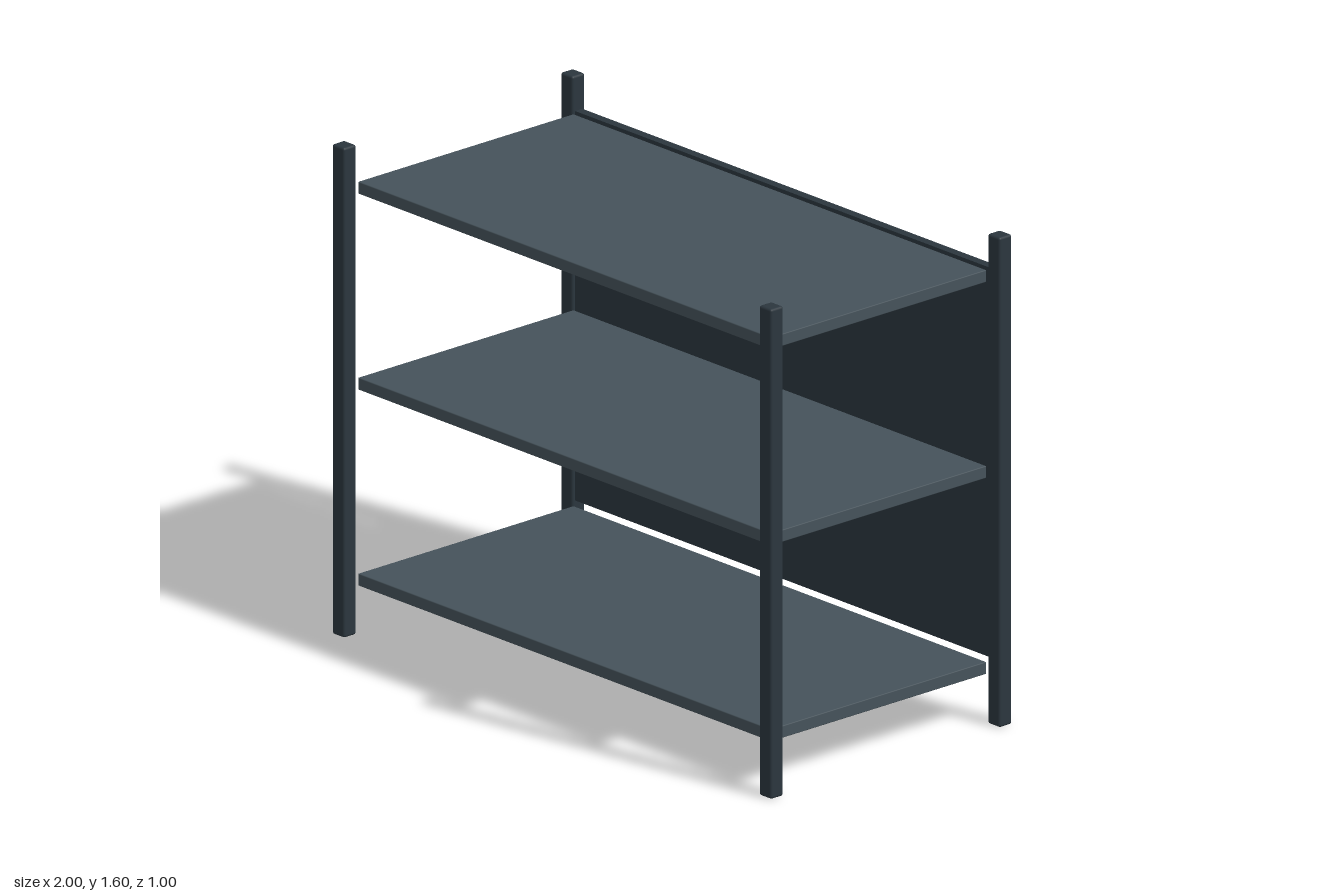
import * as THREE from 'three';
import { RoundedBoxGeometry } from 'three/addons/geometries/RoundedBoxGeometry.js';

export function createModel() {
  const group = new THREE.Group();
  const frameMat = new THREE.MeshStandardMaterial({ color: 0x2b363e });
  const shelfMat = new THREE.MeshStandardMaterial({ color: 0x45525a });

  function add(name, geometry, material, x, y, z) {
    const mesh = new THREE.Mesh(geometry, material);
    mesh.name = name;
    mesh.position.set(x, y, z);
    group.add(mesh);
  }

  // Four corner posts with softened edges
  const post = new RoundedBoxGeometry(0.056, 1.6, 0.052, 2, 0.008);
  for (const [side, sx] of [['left', 1], ['right', -1]]) {
    for (const [end, sz] of [['Front', 1], ['Back', -1]]) {
      add(`${side}${end}Post`, post, frameMat, sx * 0.972, 0.8, sz * 0.474);
    }
  }

  // Three evenly spaced shelves
  const shelf = new RoundedBoxGeometry(1.88, 0.04, 0.894, 1, 0.003);
  ['bottomShelf', 'middleShelf', 'topShelf'].forEach((name, i) => {
    add(name, shelf, shelfMat, 0, 0.18 + i * 0.64, -0.001);
  });

  // Back panel between the rear posts, raised just above the bottom shelf
  add('backPanel', new THREE.BoxGeometry(1.9, 1.272, 0.03), frameMat, 0, 0.85, -0.473);

  return group;
}
